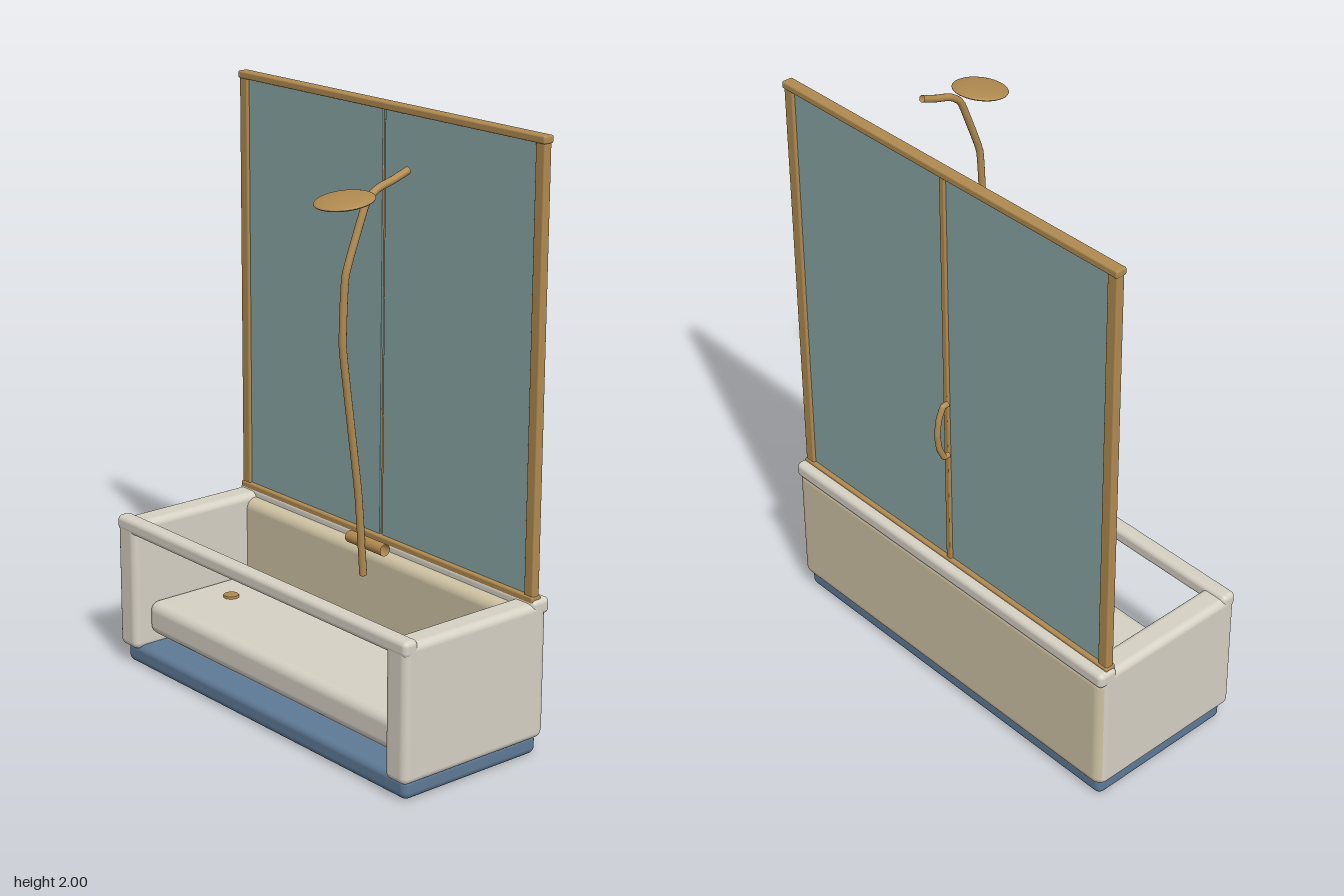
import * as THREE from 'three';
import { RoundedBoxGeometry } from 'three/addons/geometries/RoundedBoxGeometry.js';

const mat = (color, side = THREE.FrontSide) => new THREE.MeshStandardMaterial({ color, side });

export function createModel() {
  const group = new THREE.Group();
  const ceramic = mat(0xd6d1c4), tan = mat(0xcfc3a4), blue = mat(0x5f7a96);
  const glass = mat(0x8aa6a6), gold = mat(0xb08a50, THREE.DoubleSide);

  const add = (name, geometry, material) => {
    const mesh = new THREE.Mesh(geometry, material);
    mesh.name = name;
    group.add(mesh);
    return mesh;
  };
  // Box given by its limits along each axis, with rounded edges
  const block = (name, material, [x0, x1], [y0, y1], [z0, z1], radius) => {
    const mesh = add(name, new RoundedBoxGeometry(x1 - x0, y1 - y0, z1 - z0, 4, radius), material);
    mesh.position.set((x0 + x1) / 2, (y0 + y1) / 2, (z0 + z1) / 2);
    return mesh;
  };
  // Bar swept through [z, y] points in a plane of constant x
  const rod = (name, x, points, radius) => {
    const path = new THREE.CatmullRomCurve3(
      points.map(([z, y]) => new THREE.Vector3(x, y, z)), false, 'catmullrom', 0.2);
    return add(name, new THREE.TubeGeometry(path, 64, radius, 12), gold);
  };

  // Tub: plinth, back wall, floor tray, end walls and top rails
  block('plinth', blue, [-0.727, 0.727], [0, 0.075], [-0.32, 0.24], 0.025);
  block('backWall', tan, [-0.743, 0.743], [0.055, 0.505], [-0.34, -0.228], 0.035);
  block('floorTray', ceramic, [-0.66, 0.66], [0.11, 0.23], [-0.27, 0.2], 0.035);
  for (const side of [-1, 1]) {
    const name = side > 0 ? 'leftEndWall' : 'rightEndWall';
    const wall = block(name, ceramic, [0.647, 0.745], [0.06, 0.522], [-0.33, 0.26], 0.025);
    wall.position.x *= side;
  }
  block('frontRail', ceramic, [-0.745, 0.745], [0.48, 0.535], [0.205, 0.261], 0.018);
  block('backRail', ceramic, [-0.745, 0.745], [0.48, 0.535], [-0.344, -0.27], 0.018);

  const drain = add('drain', new THREE.CylinderGeometry(0.026, 0.028, 0.012, 32), gold);
  drain.position.set(-0.505, 0.232, -0.045);

  // Screen: glass panes in a metal frame
  for (const side of [-1, 1]) {
    const pane = block(side > 0 ? 'leftPane' : 'rightPane', glass,
      [0.006, 0.7], [0.53, 1.985], [-0.297, -0.287], 0.002);
    pane.position.x *= side;
    const post = block(side > 0 ? 'leftPost' : 'rightPost', gold,
      [0.692, 0.732], [0.52, 1.985], [-0.307, -0.277], 0.006);
    post.position.x *= side;
  }
  block('middleBar', gold, [-0.01, 0.01], [0.53, 1.985], [-0.307, -0.294], 0.003);
  block('topFrameRail', gold, [-0.735, 0.735], [1.975, 2], [-0.312, -0.272], 0.006);
  block('bottomFrameRail', gold, [-0.735, 0.735], [0.52, 0.545], [-0.312, -0.272], 0.006);

  // Door handle on the outside of the glass
  rod('doorHandle', -0.04, [[-0.333, 1.194], [-0.352, 1.192], [-0.37, 1.15], [-0.377, 1.095],
    [-0.37, 1.04], [-0.352, 1.0], [-0.333, 0.998]], 0.01);

  // Shower: curved riser pipe, head and tap bar
  rod('showerPipe', 0.49, [[0.21, 0.668], [0.231, 0.93], [0.265, 1.18], [0.295, 1.41],
    [0.285, 1.62], [0.213, 1.815], [0.195, 1.842], [0.16, 1.865], [0.1, 1.882], [0.045, 1.902]], 0.012);
  const head = add('showerHead', new THREE.SphereGeometry(0.092, 40, 20), gold);
  head.scale.y = 0.15;
  head.position.set(0.49, 1.845, 0.29);
  head.rotation.x = 0.15;
  const tap = add('tapBar', new THREE.CylinderGeometry(0.019, 0.019, 0.165, 24, 1, true), gold);
  tap.rotation.z = Math.PI / 2;
  tap.position.set(0.492, 0.768, 0.196);

  return group;
}
